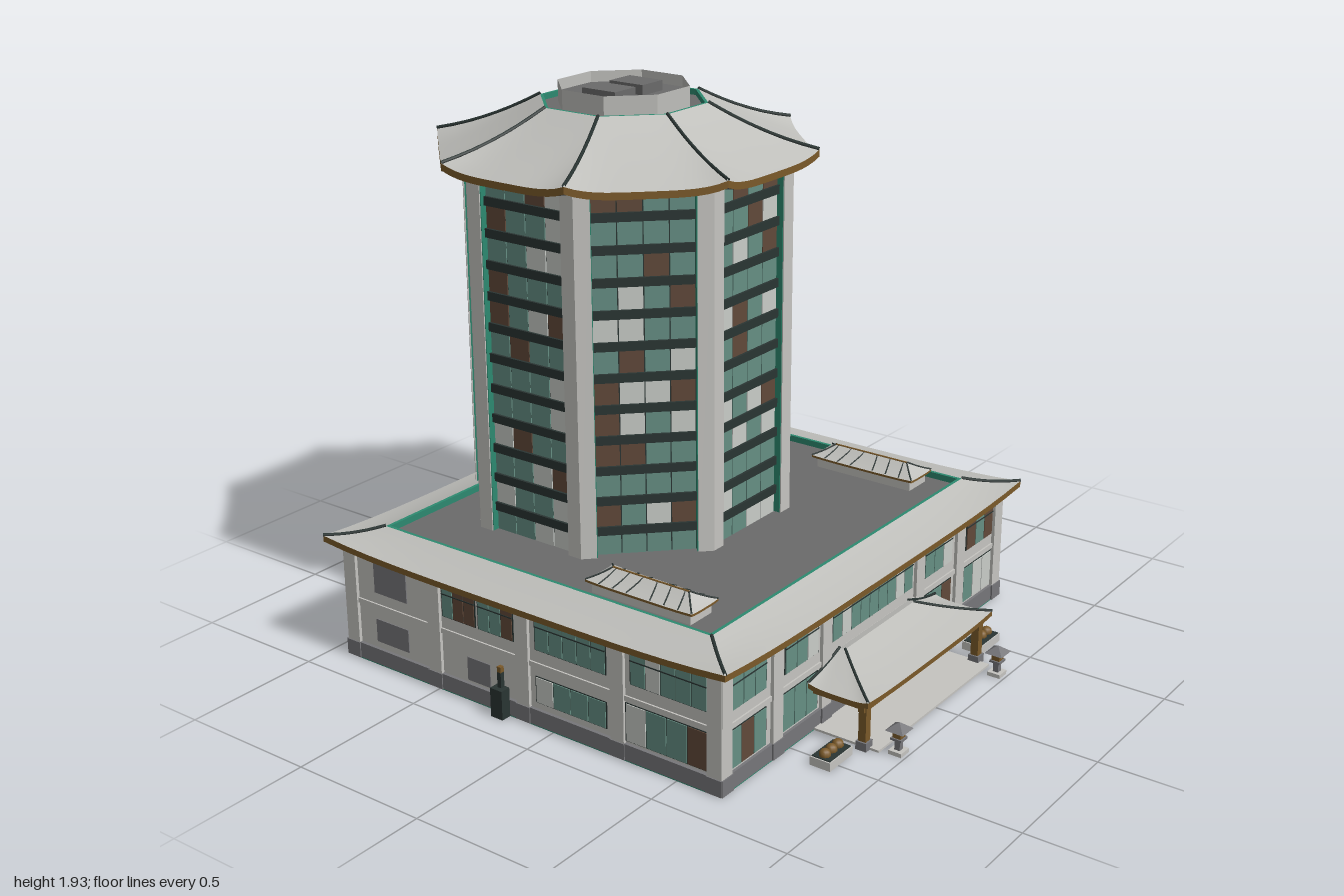
import * as THREE from 'three';

const colours = {
  wall: 0xc6c5c1, stone: 0x77777a, roof: 0xbfbfbb, deck: 0x6b6b6b, timber: 0x7b5a2a,
  brownPane: 0x61493a, glass: 0x668f84, darkTrim: 0x2a3533, teal: 0x2d8a70, palePane: 0xc9cdc8,
};

export function createModel() {
  const mats = {};
  for (const [name, color] of Object.entries(colours)) {
    mats[name] = new THREE.MeshStandardMaterial({ color, side: THREE.DoubleSide });
    mats[name].name = name;
  }
  let seed = 11;
  const rand = () => (seed = (seed * 16807) % 2147483647) / 2147483647;

  const root = new THREE.Group();
  root.name = 'building';
  const group = (name, parent = root) => {
    const g = new THREE.Group();
    g.name = name;
    parent.add(g);
    return g;
  };
  const add = (parent, name, geo, mat) => {
    const m = new THREE.Mesh(geo, mats[mat]);
    m.name = name;
    parent.add(m);
    return m;
  };
  // Box given by its extents
  const box = (parent, name, mat, x0, x1, y0, y1, z0, z1) => {
    const m = add(parent, name, new THREE.BoxGeometry(x1 - x0, y1 - y0, z1 - z0), mat);
    m.position.set((x0 + x1) / 2, (y0 + y1) / 2, (z0 + z1) / 2);
    return m;
  };
  const bar = (parent, name, mat, pts, r) =>
    add(parent, name, new THREE.TubeGeometry(new THREE.CatmullRomCurve3(pts), Math.max(1, 2 * pts.length - 3), r, 5), mat);

  // Outlines run counterclockwise seen from above
  const rect = (x0, x1, z0, z1) => [[x0, z1], [x1, z1], [x1, z0], [x0, z0]];
  const octagon = (apothem, cz) => Array.from({ length: 8 }, (_, i) => {
    const a = (i - 0.5) * Math.PI / 4, r = apothem / Math.cos(Math.PI / 8);
    return [r * Math.sin(a), cz + r * Math.cos(a)];
  });
  // Surface between two outlines, with height y(u along a side, t from outer to inner)
  const sweep = (outer, inner, y, nu = 16, nt = 6) => {
    const pos = [], idx = [], n = outer.length;
    for (let s = 0; s < n; s++) {
      const e = (s + 1) % n, base = pos.length / 3;
      for (let j = 0; j <= nt; j++) for (let i = 0; i <= nu; i++) {
        const u = i / nu, t = j / nt;
        const at = k => {
          const o = outer[s][k] + (outer[e][k] - outer[s][k]) * u;
          return o + (inner[s][k] + (inner[e][k] - inner[s][k]) * u - o) * t;
        };
        pos.push(at(0), y(u, t), at(1));
        if (i < nu && j < nt) {
          const a = base + j * (nu + 1) + i, c = a + nu + 1;
          idx.push(a, a + 1, c + 1, a, c + 1, c);
        }
      }
    }
    const g = new THREE.BufferGeometry();
    g.setAttribute('position', new THREE.Float32BufferAttribute(pos, 3));
    g.setIndex(idx);
    g.computeVertexNormals();
    return g;
  };
  // Hipped roof with upturned corners, timber fascia, soffit and dark hips
  const hipRoof = (name, outer, inner, wall, y0, y1, lift, fascia, hipR) => {
    const g = group(name);
    const up = u => lift * Math.abs(2 * u - 1) ** 4;
    const y = (u, t) => y0 + (y1 - y0) * (0.75 * t + 0.25 * t * t) + up(u) * (1 - t) ** 2;
    add(g, 'roofSlopes', sweep(outer, inner, y), 'roof');
    add(g, 'eaveFascia', sweep(outer, outer, (u, t) => y0 + up(u) - fascia * (1 - t), 16, 1), 'timber');
    if (wall) add(g, 'soffit', sweep(wall, outer, (u, t) => y0 - fascia + up(u) * t * t, 16, 4), 'deck');
    outer.forEach((o, i) => {
      const pts = [0, 0.25, 0.5, 0.75, 1].map(t => new THREE.Vector3(
        o[0] + (inner[i][0] - o[0]) * t, y(0, t) + hipR * 0.5, o[1] + (inner[i][1] - o[1]) * t));
      bar(g, 'hipRidge', 'darkTrim', pts, hipR);
    });
    return g;
  };
  const flat = (outline, y) => {
    const g = new THREE.ShapeGeometry(new THREE.Shape(outline.map(([x, z]) => new THREE.Vector2(x, -z))));
    return g.rotateX(-Math.PI / 2).translate(0, y, 0);
  };
  // Row of window panes on a face whose outside is local +z
  const panes = (face, x0, x1, y0, y1, z, n, gap = 0.004) => {
    const w = (x1 - x0) / n;
    for (let i = 0; i < n; i++) {
      const r = rand(), mat = r < 0.62 ? 'glass' : r < 0.84 ? 'palePane' : 'brownPane';
      box(face, 'windowPane', mat, x0 + i * w + gap / 2, x0 + (i + 1) * w - gap / 2, y0, y1, z, z + 0.004);
    }
  };
  const windowUnit = (face, x0, x1, y0, y1, n, transom) => {
    box(face, 'windowFrame', 'darkTrim', x0 - 0.003, x1 + 0.003, y0 - 0.003, y1 + 0.003, -0.002, 0.002);
    panes(face, x0, x1, y0, y1, 0.001, n);
    if (transom) box(face, 'transom', 'darkTrim', x0, x1, y1 - 0.035, y1 - 0.031, 0.002, 0.007);
  };
  const vent = (face, x0, x1, y0, y1) => box(face, 'ventPanel', 'stone', x0, x1, y0, y1, -0.001, 0.004);

  // Podium
  const PZ = -0.13, TZ = -0.37;
  const podium = group('podium');
  box(podium, 'podiumWalls', 'wall', -0.86, 0.86, 0.005, 0.43, PZ - 0.79, PZ + 0.79);
  box(podium, 'stoneBase', 'stone', -0.872, 0.872, 0.003, 0.06, PZ - 0.8, PZ + 0.8);
  box(podium, 'floorPlate', 'teal', -0.872, 0.872, 0, 0.003, PZ - 0.8, PZ + 0.8);
  box(podium, 'floorLedge', 'wall', -0.866, 0.866, 0.21, 0.228, PZ - 0.796, PZ + 0.796);
  const podiumFace = (name, angle, dist, pilasters, half) => {
    const holder = group(name, podium), f = group('facade', holder);
    holder.position.z = PZ;
    holder.rotation.y = angle;
    f.position.z = dist;
    for (const x of pilasters) {
      box(f, 'pilaster', 'wall', x - 0.027, x + 0.027, 0.06, 0.42, -0.005, 0.012);
      box(f, 'pilasterFoot', 'stone', x - 0.03, x + 0.03, 0.003, 0.06, -0.005, 0.016);
    }
    box(f, 'topBand', 'wall', -half, half, 0.395, 0.42, -0.005, 0.008);
    return f;
  };
  const utilityPost = (f, x) => {
    box(f, 'utilityCabinet', 'darkTrim', x - 0.025, x + 0.025, 0, 0.105, 0.012, 0.05);
    box(f, 'utilityPipe', 'darkTrim', x - 0.008, x + 0.008, 0.105, 0.16, 0.016, 0.032);
    box(f, 'utilityCap', 'timber', x - 0.008, x + 0.008, 0.16, 0.18, 0.016, 0.032);
  };
  const longPilasters = [-0.843, -0.57, -0.292, 0.292, 0.57, 0.843];
  const longWindows = [[-0.81, -0.625, 3], [-0.52, -0.335, 3], [-0.25, 0.25, 9], [0.335, 0.52, 3], [0.625, 0.81, 3]];
  const front = podiumFace('frontFace', 0, 0.79, longPilasters, 0.86);
  const back = podiumFace('backFace', Math.PI, 0.79, longPilasters, 0.86);
  for (const [x0, x1, n] of longWindows) {
    windowUnit(front, x0, x1, 0.27, 0.39, n, true);
    if (n === 3) windowUnit(front, x0 - 0.015, x1 + 0.0, 0.07, 0.2, 3);
    if (n === 3) windowUnit(back, x0, x1, 0.27, 0.39, n, true);
  }
  for (const x of [-0.72, -0.43, -0.13, 0.13, 0.43, 0.72]) vent(back, x - 0.07, x + 0.07, 0.085, 0.17);
  for (const x of [-0.13, 0.13]) vent(back, x - 0.075, x + 0.075, 0.27, 0.385);
  for (const x of [-0.62, 0.62]) utilityPost(back, x);
  // Entrance
  windowUnit(front, -0.25, -0.09, 0.065, 0.2, 2);
  windowUnit(front, 0.09, 0.25, 0.065, 0.2, 2);
  box(front, 'doorFrame', 'timber', -0.088, 0.088, 0.003, 0.145, 0, 0.02);
  box(front, 'doorGlass', 'glass', -0.075, 0.075, 0.005, 0.13, 0.02, 0.025);
  box(front, 'doorLeaf', 'palePane', -0.022, 0.022, 0.005, 0.105, 0.025, 0.029);
  // Side faces, mirrored
  for (const s of [1, -1]) {
    const f = podiumFace(s > 0 ? 'leftFace' : 'rightFace', s * Math.PI / 2, 0.86,
      [-0.772, -0.395, -0.003, 0.385, 0.772].map(x => x * s), 0.79);
    const span = (a, b) => (s > 0 ? [a, b] : [-b, -a]);
    for (const [a, b, y0, y1, n] of [[-0.74, -0.445, 0.275, 0.39, 5], [-0.345, -0.055, 0.275, 0.39, 5],
      [0.04, 0.19, 0.275, 0.39, 3], [0.205, 0.35, 0.275, 0.39, 3],
      [-0.745, -0.425, 0.07, 0.2, 4], [-0.345, -0.055, 0.085, 0.175, 4]])
      windowUnit(f, ...span(a, b), y0, y1, n, y0 > 0.2);
    vent(f, ...span(0.515, 0.665), 0.27, 0.385);
    vent(f, ...span(0.515, 0.665), 0.085, 0.17);
    vent(f, ...span(0.145, 0.245), 0.07, 0.155);
    utilityPost(f, 0.08 * s);
  }

  // Podium roof
  const rimOut = rect(-0.765, 0.765, -0.825, 0.555), rimIn = rect(-0.753, 0.753, -0.813, 0.543);
  const skirt = hipRoof('podiumRoof', rect(-0.915, 0.915, -0.975, 0.715), rimOut,
    rect(-0.85, 0.85, -0.91, 0.65), 0.43, 0.473, 0.022, 0.022, 0.006);
  add(skirt, 'roofRim', sweep(rimOut, rimIn, () => 0.473, 1, 1), 'teal');
  add(skirt, 'rimInside', sweep(rimIn, rimIn, (u, t) => 0.45 + 0.023 * t, 1, 1), 'teal');
  add(skirt, 'roofDeck', flat(rimIn, 0.45), 'deck');

  // Tower: eight recessed window walls between corner columns
  const tower = group('tower');
  add(tower, 'towerCore', sweep(octagon(0.508, TZ), octagon(0.508, TZ), (u, t) => 0.44 + 1.27 * t, 1, 1), 'darkTrim');
  for (let k = 0; k < 8; k++) {
    const f = group('towerFace', tower);
    f.position.z = TZ;
    f.rotation.y = k * Math.PI / 4;
    for (const s of [-1, 1]) {
      const c = box(f, 'cornerColumn', 'wall', 0.17, 0.2237, 0.44, 1.71, 0.49, 0.54);
      c.position.x *= s;
      box(f, 'columnLining', 'teal', s * 0.169 - 0.0015, s * 0.169 + 0.0015, 0.44, 1.71, 0.505, 0.536);
    }
    for (let i = 0; i < 12; i++) {
      const top = 1.704 - i * 0.1075, bottom = Math.max(top - 0.077, 0.45);
      panes(f, -0.168, 0.168, bottom, top, 0.509, 4);
      if (i < 11) box(f, 'spandrel', 'darkTrim', -0.168, 0.168, top - 0.1075, top - 0.077, 0.505, 0.522);
    }
  }

  // Tower roof
  const crownOut = octagon(0.27, TZ), crownIn = octagon(0.26, TZ);
  const crown = hipRoof('towerRoof', octagon(0.618, TZ), crownOut, octagon(0.5, TZ), 1.717, 1.88, 0.025, 0.024, 0.006);
  add(crown, 'crownRim', sweep(crownOut, crownIn, () => 1.88, 1, 1), 'teal');
  add(crown, 'crownRimInside', sweep(crownIn, crownIn, (u, t) => 1.86 + 0.02 * t, 1, 1), 'teal');
  add(crown, 'crownDeck', flat(crownIn, 1.86), 'deck');
  const drum = octagon(0.212, TZ);
  add(crown, 'plantScreen', sweep(drum, drum, (u, t) => 1.86 + 0.073 * t, 1, 1), 'roof');
  add(crown, 'plantDeck', flat(drum, 1.895), 'deck');
  box(crown, 'roofUnit', 'deck', -0.13, -0.022, 1.895, 1.93, -0.44, -0.3);
  box(crown, 'roofUnit', 'deck', 0.015, 0.123, 1.895, 1.93, -0.44, -0.3);

  // Entrance canopy
  hipRoof('canopyRoof', rect(-0.4, 0.4, 0.67, 0.895), rect(-0.215, 0.215, 0.67, 0.69),
    rect(-0.36, 0.36, 0.67, 0.85), 0.178, 0.237, 0.01, 0.018, 0.005);
  const canopy = group('canopyFrame');
  box(canopy, 'entrancePlatform', 'wall', -0.36, 0.36, 0, 0.008, 0.66, 0.915);
  box(canopy, 'frontBeam', 'timber', -0.385, 0.385, 0.138, 0.158, 0.85, 0.872);
  for (const s of [-1, 1]) {
    const x = 0.362 * s;
    box(canopy, 'canopyPost', 'timber', x - 0.014, x + 0.014, 0.008, 0.16, 0.847, 0.875);
    box(canopy, 'postFoot', 'stone', x - 0.02, x + 0.02, 0, 0.03, 0.841, 0.881);
    box(canopy, 'sideBeam', 'timber', x - 0.01, x + 0.01, 0.14, 0.158, 0.67, 0.86);

    // Stone lantern
    const lantern = group('stoneLantern');
    lantern.position.set(0.322 * s, 0, 0.965);
    box(lantern, 'lanternBase', 'wall', -0.024, 0.024, 0, 0.014, -0.024, 0.024);
    box(lantern, 'lanternStem', 'stone', -0.01, 0.01, 0.014, 0.05, -0.01, 0.01);
    box(lantern, 'lanternTray', 'stone', -0.02, 0.02, 0.05, 0.058, -0.02, 0.02);
    box(lantern, 'lanternLight', 'timber', -0.015, 0.015, 0.058, 0.085, -0.015, 0.015);
    const cap = add(lantern, 'lanternCap', new THREE.ConeGeometry(0.047, 0.026, 4).toNonIndexed(), 'stone');
    cap.geometry.computeVertexNormals();
    cap.rotation.y = Math.PI / 4;
    cap.position.y = 0.098;

    // Planter
    const planter = group('planter');
    planter.position.set(0.482 * s, 0, 0.815);
    box(planter, 'planterBox', 'wall', -0.066, 0.066, 0, 0.03, -0.038, 0.038);
    box(planter, 'planterSoil', 'darkTrim', -0.061, 0.061, 0.03, 0.033, -0.034, 0.034);
    for (const bx of [-0.037, 0, 0.037])
      add(planter, 'shrub', new THREE.SphereGeometry(0.02, 10, 8), 'timber').position.set(bx, 0.037, 0);

    // Roof lantern with rafters
    const cx = 0.655 * s;
    const sky = hipRoof('skylightRoof', rect(cx - 0.07, cx + 0.07, 0.025, 0.45),
      rect(cx - 0.003, cx + 0.003, 0.085, 0.39), rect(cx - 0.055, cx + 0.055, 0.04, 0.435), 0.494, 0.53, 0.003, 0.008, 0.003);
    box(sky, 'skylightCurb', 'wall', cx - 0.055, cx + 0.055, 0.45, 0.492, 0.04, 0.435);
    bar(sky, 'skylightRidge', 'timber', [new THREE.Vector3(cx, 0.531, 0.085), new THREE.Vector3(cx, 0.531, 0.39)], 0.004);
    for (let i = 0; i < 6; i++) for (const d of [-1, 1]) {
      const z = 0.1 + i * 0.055, lean = i < 3 ? -0.02 : 0.02;
      bar(sky, 'skylightRafter', 'darkTrim', [new THREE.Vector3(cx, 0.53, z),
        new THREE.Vector3(cx + d * 0.035, 0.511, z + lean / 2), new THREE.Vector3(cx + d * 0.069, 0.496, z + lean)], 0.0025);
    }
  }
  return root;
}
